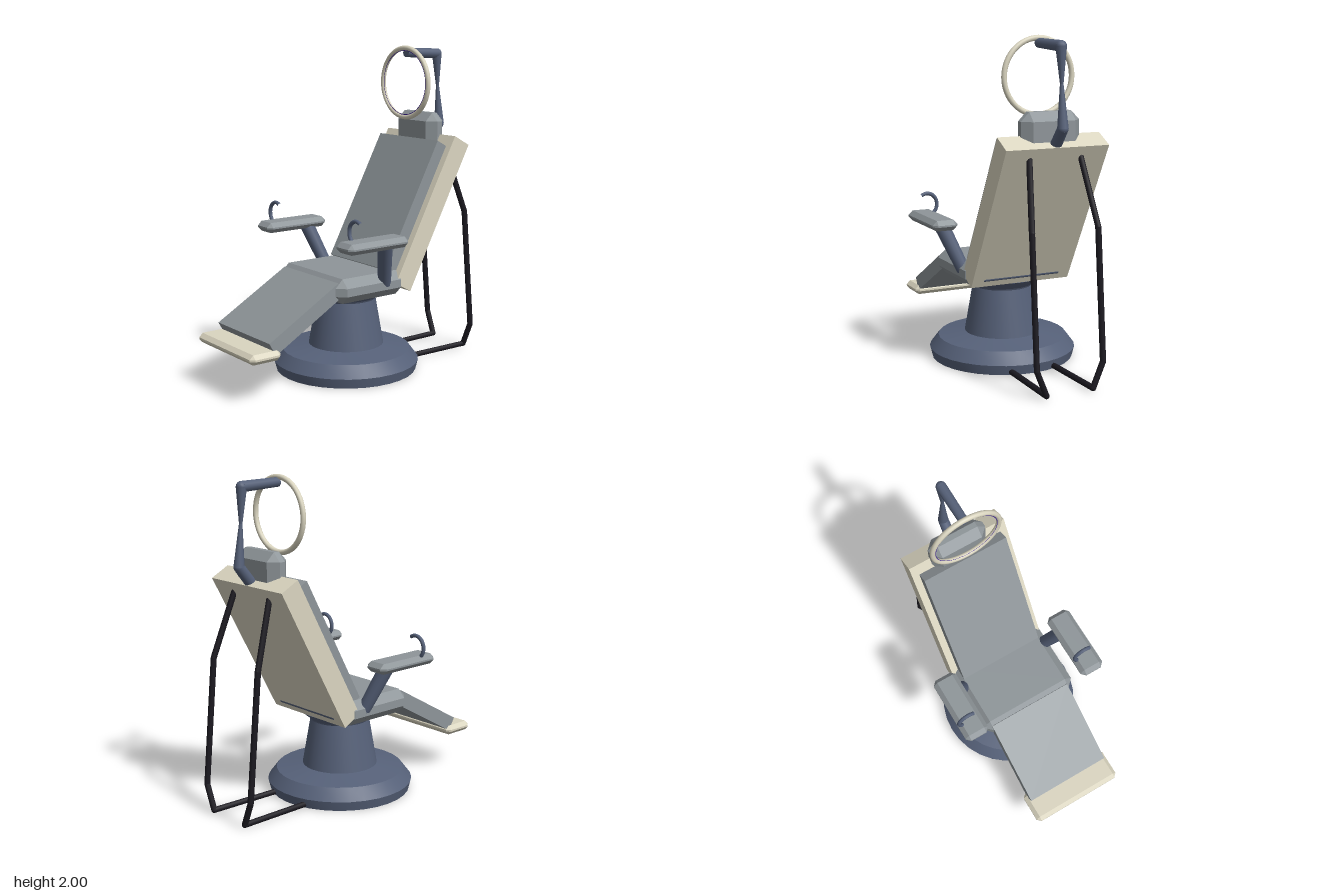
import * as THREE from 'three';
import { toCreasedNormals } from 'three/addons/utils/BufferGeometryUtils.js';
import { ConvexGeometry } from 'three/addons/geometries/ConvexGeometry.js';

const material = (name, color) => {
  const m = new THREE.MeshStandardMaterial({ color });
  m.name = name;
  return m;
};

export function createModel() {
  const root = new THREE.Group();
  root.name = 'recliningChair';
  const grey = material('greyUpholstery', 0x8e9599);
  const cream = material('creamShell', 0xdad5c0);
  const blue = material('blueGreyMetal', 0x566179);
  const black = material('blackTube', 0x1b1920);
  const violet = material('violetLight', 0x3d2299);

  const add = (name, geometry, mat, x = 0, y = 0, z = 0, tilt = 0) => {
    const mesh = new THREE.Mesh(geometry, mat);
    mesh.name = name;
    mesh.position.set(x, y, z);
    mesh.rotation.x = tilt;
    root.add(mesh);
    return mesh;
  };

  // Box with every edge and corner cut by c
  const chamferBox = (w, h, d, c) => {
    const points = [];
    for (const sx of [-1, 1]) for (const sy of [-1, 1]) for (const sz of [-1, 1]) {
      for (let axis = 0; axis < 3; axis++) {
        const half = [w / 2, h / 2, d / 2].map((v, i) => (i === axis ? v : v - c));
        points.push(new THREE.Vector3(sx * half[0], sy * half[1], sz * half[2]));
      }
    }
    return new ConvexGeometry(points);
  };

  // Jointed rod through [x, y, z, radius] stations
  const rod = (name, stations, mat, sides = 12) => {
    const group = new THREE.Group();
    group.name = name;
    for (let i = 0; i < stations.length - 1; i++) {
      const a = new THREE.Vector3(...stations[i].slice(0, 3));
      const b = new THREE.Vector3(...stations[i + 1].slice(0, 3));
      const dir = b.clone().sub(a);
      const seg = new THREE.Mesh(
        new THREE.CylinderGeometry(stations[i + 1][3], stations[i][3], dir.length(), sides), mat);
      seg.name = name + 'Segment';
      seg.position.copy(a).add(b).multiplyScalar(0.5);
      seg.quaternion.setFromUnitVectors(new THREE.Vector3(0, 1, 0), dir.normalize());
      group.add(seg);
      if (i > 0) {
        const joint = new THREE.Mesh(new THREE.SphereGeometry(stations[i][3], sides, 8), mat);
        joint.name = name + 'Joint';
        joint.position.copy(a);
        group.add(joint);
      }
    }
    root.add(group);
  };

  // Round pedestal
  const profile = [[0, 0], [0.44, 0], [0.455, 0.06], [0.4, 0.132], [0.25, 0.157], [0.235, 0.16],
    [0.185, 0.45], [0.19, 0.46], [0.25, 0.51], [0, 0.515]].map(p => new THREE.Vector2(...p));
  add('pedestal', toCreasedNormals(new THREE.LatheGeometry(profile, 32), 0.4), blue);

  // Seat, leg rest and footrest
  add('seat', chamferBox(0.66, 0.15, 0.51, 0.05), grey, 0, 0.575, 0.035);
  add('legRest', new THREE.BoxGeometry(0.56, 0.09, 0.565), grey, 0, 0.451, 0.493, 0.519);
  add('footrest', chamferBox(0.61, 0.06, 0.21, 0.024), cream, 0, 0.275, 0.79);

  // Reclined back
  const recline = -0.494;
  add('backShell', new THREE.BoxGeometry(0.65, 0.99, 0.132), cream, 0, 0.98, -0.4275, recline);
  add('backCushion', new THREE.BoxGeometry(0.56, 0.865, 0.09), grey, 0, 1.02, -0.335, recline);
  add('headrest', chamferBox(0.37, 0.26, 0.14, 0.052), grey, 0, 1.45, -0.6);
  rod('backCrossbar', [[-0.25, 0.56, -0.262, 0.015], [0.25, 0.56, -0.262, 0.015]], blue);

  // Both sides: armrest, strut, grip and rear support tube
  const gripArc = new THREE.CatmullRomCurve3(Array.from({ length: 13 }, (_, i) => {
    const a = THREE.MathUtils.degToRad(55 + i * 15.5);
    return new THREE.Vector3(0.066 * Math.cos(a), 0.07 * Math.sin(a), 0);
  }));
  for (const s of [1, -1]) {
    const side = s > 0 ? 'left' : 'right';
    add(side + 'Armrest', chamferBox(0.16, 0.064, 0.45, 0.027), grey, s * 0.416, 0.868, 0.12);
    rod(side + 'ArmStrut', [[s * 0.4, 0.85, 0.015, 0.046], [s * 0.285, 0.56, -0.075, 0.04],
      [s * 0.2, 0.56, -0.075, 0.04]], blue);
    // the grips curl the same way on both arms
    add(side + 'Grip', new THREE.TubeGeometry(gripArc, 20, 0.012, 8), blue,
      s > 0 ? 0.405 : -0.425, 0.945, 0.235);
    rod(side + 'RearSupport', [[s * 0.16, 1.35, -0.67, 0.018], [s * 0.21, 0.935, -0.805, 0.018],
      [s * 0.212, 0.17, -0.875, 0.018], [s * 0.15, 0.02, -0.873, 0.018],
      [s * 0.14, 0.02, -0.4, 0.018]], black, 8);
  }

  // Lamp mast with pinched upright, and ring lamp
  rod('lampMast', [[0, 1.38, -0.67, 0.034], [0, 1.495, -0.763, 0.032], [0, 1.74, -0.745, 0.01],
    [0, 1.945, -0.735, 0.032], [0, 1.955, -0.475, 0.028]], blue);
  add('lampRing', new THREE.TorusGeometry(0.217, 0.016, 12, 48), cream, 0, 1.767, -0.471);
  add('lampGlow', new THREE.RingGeometry(0.199, 0.207, 48), violet, 0, 1.767, -0.463);

  return root;
}
